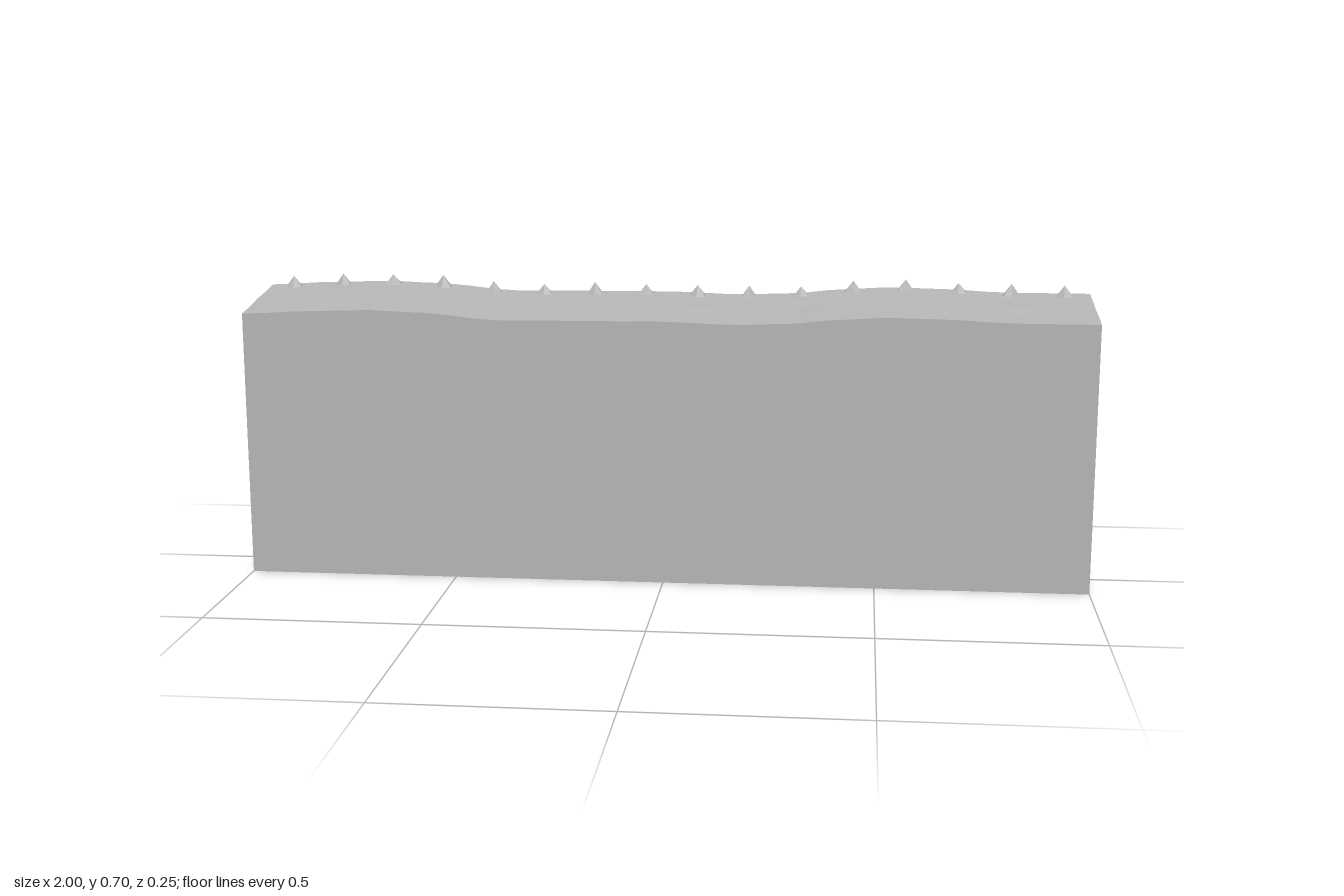
import * as THREE from 'three';

// Height of the front top edge along x, as [x, y]
const PROFILE = [
  [-1, 0.632], [-0.85, 0.64], [-0.7, 0.645], [-0.58, 0.641], [-0.38, 0.625], [-0.2, 0.627], [0, 0.628],
  [0.17, 0.623], [0.3, 0.628], [0.42, 0.64], [0.53, 0.645], [0.65, 0.643], [0.8, 0.636], [1, 0.636],
];
const DEPTH = 0.25;

function frontHeight(x) {
  let i = 0;
  while (i < PROFILE.length - 2 && x > PROFILE[i + 1][0]) i++;
  const [x0, y0] = PROFILE[i], [x1, y1] = PROFILE[i + 1];
  return THREE.MathUtils.lerp(y0, y1, THREE.MathUtils.smoothstep(x, x0, x1));
}

// Top surface: wavy along x, rising gently to the back
function surface(x, z) {
  const t = (DEPTH / 2 - z) / DEPTH;
  const ripple = 0.0012 * Math.sin(x * 17 + z * 60) * Math.sin(Math.PI * t);
  return frontHeight(x) + 0.036 * t + ripple;
}

export function createModel() {
  const model = new THREE.Group();
  model.name = 'wallSegment';
  const stone = new THREE.MeshStandardMaterial({ color: 0xb4b4b4, flatShading: true });
  stone.name = 'grey stone';

  // Solid block with its upper vertices lifted onto the wavy surface
  const blockGeo = new THREE.BoxGeometry(2, 1, DEPTH, 32, 1, 4);
  const p = blockGeo.attributes.position;
  for (let i = 0; i < p.count; i++) {
    p.setY(i, p.getY(i) > 0 ? surface(p.getX(i), p.getZ(i)) : 0);
  }
  blockGeo.computeVertexNormals();
  const block = new THREE.Mesh(blockGeo, stone);
  block.name = 'block';
  model.add(block);

  // Row of small spikes along the back edge
  const spikes = new THREE.Group();
  spikes.name = 'spikes';
  const spikeGeo = new THREE.ConeGeometry(1, 1, 6, 1).translate(0, 0.5, 0);
  const z = -0.1;
  for (let i = 0; i < 16; i++) {
    const x = -0.9375 + i * 0.125;
    const height = 0.031 + 0.003 * Math.sin(i * 2.3);
    const spike = new THREE.Mesh(spikeGeo, stone);
    spike.name = 'spike';
    spike.position.set(x, surface(x, z) - 0.005, z);
    spike.scale.set(0.026, height, 0.014);
    spike.rotation.y = 0.15 * Math.sin(i * 3.7);
    spikes.add(spike);
  }
  model.add(spikes);
  return model;
}
